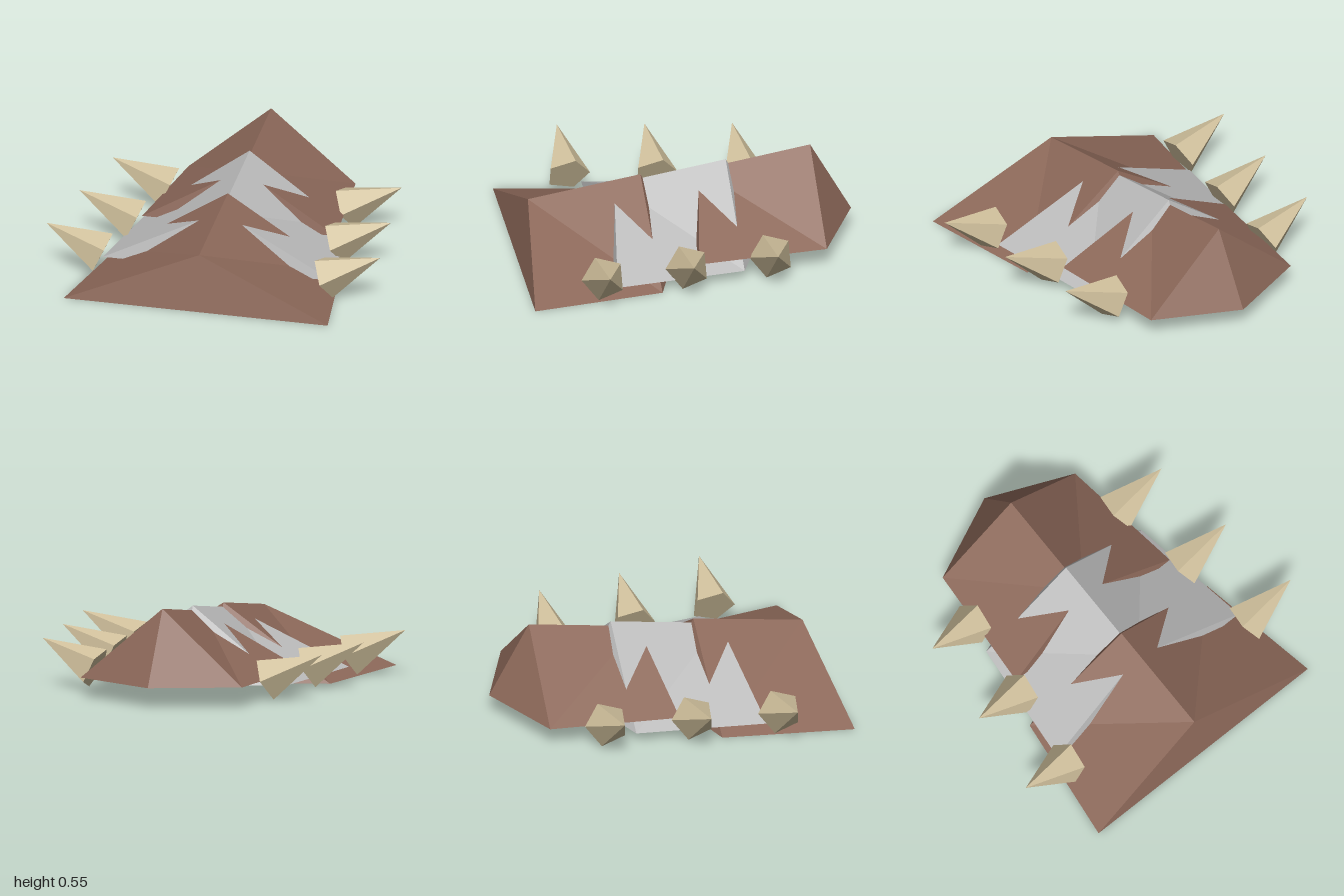
import * as THREE from 'three';

const brown = new THREE.MeshStandardMaterial({ color: 0x8c6859, flatShading: true });
brown.name = 'brown hide';
const grey = new THREE.MeshStandardMaterial({ color: 0xbbbbbb, flatShading: true });
grey.name = 'grey plate';
const tan = new THREE.MeshStandardMaterial({ color: 0xd0c09c, flatShading: true });
tan.name = 'tan horn';

// Ridged plate: wide front edge, tapering sides, pointed tail, flat pentagon base.
// front, back: [half width, z] of base corners; ridgeFront, ridgeBack: [y, z]
function plate(name, material, { base, front, back, ridgeFront, ridgeBack, tailZ }) {
  const points = [
    front[0], base, front[1],
    -front[0], base, front[1],
    back[0], base, back[1],
    -back[0], base, back[1],
    0, ridgeFront[0], ridgeFront[1],
    0, ridgeBack[0], ridgeBack[1],
    0, base, tailZ,
  ];
  const faces = [
    1, 0, 4, // front slope
    0, 2, 4, 4, 2, 5, // left side
    1, 4, 3, 4, 5, 3, // right side
    2, 6, 5, 3, 5, 6, // tail slopes
    0, 1, 3, 0, 3, 6, 0, 6, 2, // underside
  ];
  const indexed = new THREE.BufferGeometry();
  indexed.setAttribute('position', new THREE.Float32BufferAttribute(points, 3));
  indexed.setIndex(faces);
  const geometry = indexed.toNonIndexed();
  geometry.computeVertexNormals();
  const mesh = new THREE.Mesh(geometry, material);
  mesh.name = name;
  return mesh;
}

// Five-sided horn running from the centre of its base to its tip
function spike(name, from, to, spin) {
  const axis = to.clone().sub(from);
  const geometry = new THREE.ConeGeometry(0.13, axis.length(), 5);
  geometry.rotateY(spin);
  const mesh = new THREE.Mesh(geometry, tan);
  mesh.position.copy(from).add(to).multiplyScalar(0.5);
  mesh.quaternion.setFromUnitVectors(new THREE.Vector3(0, 1, 0), axis.normalize());
  mesh.name = name;
  return mesh;
}

export function createModel() {
  const model = new THREE.Group();
  model.name = 'spikedArmour';

  // Three overlapping plates, rising and narrowing towards the back
  model.add(
    plate('frontPlate', brown, {
      base: 0, front: [0.79, 0.985], back: [0.67, 0.22],
      ridgeFront: [0.325, 0.905], ridgeBack: [0.435, 0.245], tailZ: 0.01,
    }),
    plate('middlePlate', grey, {
      base: 0.06, front: [0.685, 0.485], back: [0.585, -0.275],
      ridgeFront: [0.383, 0.4], ridgeBack: [0.493, -0.255], tailZ: -0.49,
    }),
    plate('backPlate', brown, {
      base: 0.12, front: [0.58, -0.01 + 0.0], back: [0.5, -0.77],
      ridgeFront: [0.438, -0.095], ridgeBack: [0.55, -0.75], tailZ: -0.99,
    }),
  );

  // Three horns along each side
  ['front', 'middle', 'back'].forEach((row, i) => {
    for (const side of [1, -1]) {
      const inset = 0.0675 * i;
      const shift = 0.503 * i;
      model.add(spike(
        `${row}${side > 0 ? 'Left' : 'Right'}Spike`,
        new THREE.Vector3(side * (0.668 - inset), 0.12, 0.565 - shift),
        new THREE.Vector3(side * (1 - inset), 0.28, 0.578 - shift),
        side > 0 ? 0 : Math.PI,
      ));
    }
  });
  return model;
}
